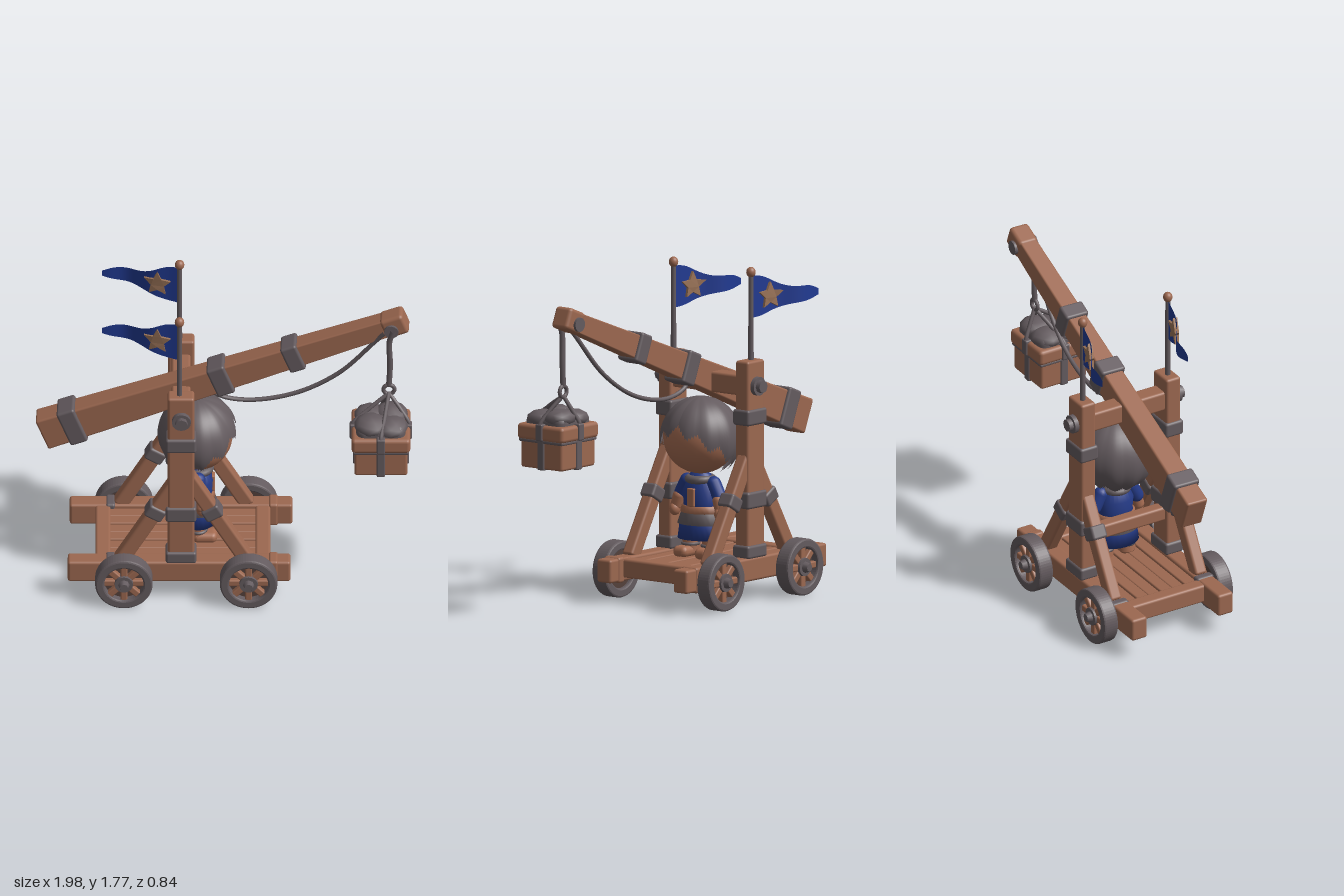
import * as THREE from 'three';
import { RoundedBoxGeometry } from 'three/addons/geometries/RoundedBoxGeometry.js';

const mat = (name, color, extra = {}) => Object.assign(new THREE.MeshStandardMaterial({ color, ...extra }), { name });
const V = (x, y, z) => new THREE.Vector3(x, y, z);

export function createModel() {
  const wood = mat('wood', 0x9c6850);
  const iron = mat('iron', 0x645b5f);
  const shade = mat('dark recess', 0x54413b);
  const skin = mat('skin', 0xa56c52);
  const hairMat = mat('hair', 0x645b5f, { side: THREE.DoubleSide });
  const blue = mat('blue cloth', 0x243a86);
  const flagBlue = mat('flag cloth', 0x213a92, { side: THREE.DoubleSide });
  const gold = mat('star tan', 0x9a7358);

  const root = new THREE.Group();
  root.name = 'siegeEngine';
  const add = (name, geo, m, pos = [0, 0, 0], rot = [0, 0, 0], parent = root) => {
    const mesh = new THREE.Mesh(geo, m);
    mesh.name = name;
    mesh.position.set(...pos);
    mesh.rotation.set(...rot);
    parent.add(mesh);
    return mesh;
  };
  const box = (w, h, d, r = 0.014) => new RoundedBoxGeometry(w, h, d, 2, r);
  const cyl = (r0, r1, h, n = 20) => new THREE.CylinderGeometry(r0, r1, h, n);
  const tube = (pts, r) => new THREE.TubeGeometry(new THREE.CatmullRomCurve3(pts), 32, r, 8);
  const ball = (rx, ry, rz) => new THREE.SphereGeometry(1, 24, 16).scale(rx, ry, rz);

  // Deck: under plate, planks and end beams
  add('underPlate', box(0.92, 0.06, 0.58, 0.01), wood, [-0.22, 0.17, 0]);
  for (let i = 0; i < 6; i++) {
    add('deckPlank', box(0.8, 0.035, 0.07, 0.008), wood, [-0.22, 0.207 + (i % 2) * 0.005, -0.1825 + i * 0.073]);
  }
  for (const x of [-0.64, 0.2]) add('endBeam', box(0.08, 0.1, 0.46), wood, [x, 0.19, 0]);

  // Wheel with tyre, spokes and hub, outer face towards +z
  const ring = new THREE.Shape().absarc(0, 0, 0.142, 0, Math.PI * 2);
  ring.holes.push(new THREE.Path().absarc(0, 0, 0.112, 0, Math.PI * 2, true));
  const tyre = new THREE.ExtrudeGeometry(ring, { depth: 0.066, bevelThickness: 0.01, bevelSize: 0.009, bevelSegments: 2, curveSegments: 32 });
  tyre.translate(0, 0, -0.033);
  const makeWheel = () => {
    const w = new THREE.Group();
    w.name = 'wheel';
    add('tyre', tyre, iron, [0, 0, 0], [0, 0, 0], w);
    add('wheelBack', cyl(0.115, 0.115, 0.02, 32), shade, [0, 0, -0.01], [Math.PI / 2, 0, 0], w);
    for (let i = 0; i < 8; i++) {
      const a = (i * Math.PI) / 4;
      add('spoke', box(0.085, 0.037, 0.04, 0.008), wood, [Math.cos(a) * 0.073, Math.sin(a) * 0.073, 0.008], [0, 0, a], w);
    }
    add('hubPlate', cyl(0.048, 0.052, 0.04), iron, [0, 0, 0.02], [Math.PI / 2, 0, 0], w);
    add('hubCap', cyl(0.022, 0.034, 0.04, 8), iron, [0, 0, 0.048], [Math.PI / 2, 0, 0], w);
    return w;
  };

  // Beam between two points in the x-y plane at depth z
  const strut = (name, a, b, w, d, z, m, parent) => {
    const dx = b[0] - a[0], dy = b[1] - a[1];
    return add(name, box(Math.hypot(dx, dy), w, d), m, [(a[0] + b[0]) / 2, (a[1] + b[1]) / 2, z], [0, 0, Math.atan2(dy, dx)], parent);
  };

  // Flag cloth rule: u runs from pole to tip
  const ripple = u => -0.13 * THREE.MathUtils.smoothstep(u, 0, 0.95) - 0.008 * Math.sin(u * 12);
  const topEdge = u => 1.735 - 0.11 * u + 0.012 * Math.sin(u * 9);
  const lowEdge = u => 1.51 + 0.09 * u - 0.006 * Math.sin(u * 9);
  const flagGeo = new THREE.PlaneGeometry(1, 1, 20, 4);
  const fp = flagGeo.attributes.position;
  for (let i = 0; i < fp.count; i++) {
    const u = 0.5 - fp.getX(i), v = fp.getY(i) + 0.5;
    fp.setXYZ(i, -0.235 - 0.41 * u, THREE.MathUtils.lerp(lowEdge(u), topEdge(u), v), ripple(u));
  }
  flagGeo.computeVertexNormals();
  const star = new THREE.Shape(Array.from({ length: 10 }, (_, i) => {
    const a = Math.PI / 2 + (i * Math.PI) / 5, r = i % 2 ? 0.036 : 0.074;
    return new THREE.Vector2(Math.cos(a) * r, Math.sin(a) * r);
  }));
  const starGeo = new THREE.ExtrudeGeometry(star, { depth: 0.026, bevelEnabled: false });
  starGeo.translate(-0.355, 1.62, -0.013);
  const sp = starGeo.attributes.position;
  for (let i = 0; i < sp.count; i++) sp.setZ(i, sp.getZ(i) + ripple((-0.235 - sp.getX(i)) / 0.41));
  starGeo.computeVertexNormals();

  // Matching side frames
  for (const s of [1, -1]) {
    const z = 0.262 * s;
    add('sideRail', box(1.17, 0.125, 0.094), wood, [s > 0 ? -0.24 : -0.23, 0.182, z]);
    for (const x of [-0.6, 0.255]) add('railBand', box(0.05, 0.137, 0.104), x < 0 ? iron : wood, [x, 0.182, z]);
    add('post', box(0.14, 1.05, 0.088), wood, [-0.23, 0.765, z]);
    for (const [y, h] of [[0.275, 0.07], [0.55, 0.09], [0.99, 0.085]]) {
      add('postBand', box(0.162, h, 0.11), iron, [-0.23, y, z]);
    }
    for (const [a, b] of [[[-0.55, 0.23], [-0.23, 0.78]], [[0.12, 0.23], [-0.2, 0.78]]]) {
      strut('brace', a, b, 0.08, 0.07, z, wood);
      const at = t => [a[0] + (b[0] - a[0]) * t, a[1] + (b[1] - a[1]) * t];
      strut('braceBand', at(0.52), at(0.64), 0.1, 0.09, z, iron);
    }
    for (const x of [-0.53, 0.125]) {
      const w = makeWheel();
      w.position.set(x, 0.16, 0.354 * s);
      if (s < 0) w.rotation.y = Math.PI;
      root.add(w);
    }
    add('pivotWasher', cyl(0.05, 0.05, 0.03, 16), iron, [-0.228, 1.155, 0.315 * s], [Math.PI / 2, 0, 0]);
    add('pivotBolt', cyl(0.034, 0.034, 0.05, 8), iron, [-0.228, 1.155, 0.33 * s], [Math.PI / 2, 0, 0]);
    // Pole, finial and flag
    add('flagPole', cyl(0.013, 0.015, 0.48, 10), iron, [-0.238, 1.51, z]);
    add('finial', ball(0.025, 0.028, 0.025), wood, [-0.238, 1.755, z]);
    add('flag', flagGeo, flagBlue, [0, 0, z]);
    add('flagStar', starGeo, gold, [0, 0, z]);
  }
  for (const x of [-0.53, 0.125]) add('axle', cyl(0.03, 0.03, 0.7, 12), iron, [x, 0.16, 0], [Math.PI / 2, 0, 0]);
  add('pivotBeam', box(0.1, 0.11, 0.46), wood, [-0.23, 1.155, 0]);
  add('lowerCrossBeam', box(0.07, 0.08, 0.46), wood, [-0.25, 0.48, 0]);

  // Tapered throwing arm
  const arm = new THREE.Group();
  arm.name = 'throwingArm';
  arm.position.set(-0.005, 1.254, 0.022);
  arm.rotation.set(0, -0.037, 0.379, 'YZX');
  root.add(arm);
  const armH = s => THREE.MathUtils.mapLinear(s, -1.028, 1.028, 0.19, 0.1);
  const armD = s => THREE.MathUtils.mapLinear(s, -1.028, 1.028, 0.125, 0.095);
  const armGeo = box(2.056, 0.19, 0.125, 0.012);
  const ap = armGeo.attributes.position;
  for (let i = 0; i < ap.count; i++) {
    const s = ap.getX(i);
    ap.setXYZ(i, s, ap.getY(i) * armH(s) / 0.19, ap.getZ(i) * armD(s) / 0.125);
  }
  add('armBeam', armGeo, wood, [0, 0, 0], [0, 0, 0], arm);
  for (const [s, w] of [[-0.856, 0.1], [-0.016, 0.1], [0.393, 0.09]]) {
    add('armBand', box(w, armH(s) + 0.032, armD(s) + 0.032), iron, [s, 0, 0], [0, 0, 0], arm);
  }
  add('armTip', box(0.13, 0.118, 0.112, 0.02), wood, [0.966, 0, 0], [0, 0, 0], arm);
  add('tipPin', cyl(0.038, 0.038, 0.14, 14), iron, [0.945, -0.012, 0], [Math.PI / 2, 0, 0], arm);

  // Ropes and ring
  add('slackRope', tube([V(0.84, 1.58, 0.11), V(0.78, 1.5, 0.09), V(0.6, 1.29, 0.06), V(0.38, 1.15, 0.04), V(0.14, 1.095, 0.03), V(-0.02, 1.12, 0.03), V(-0.09, 1.17, 0.03)], 0.012), iron);
  add('hangingRope', tube([V(0.885, 1.6, 0.125), V(0.865, 1.53, 0.12), V(0.868, 1.38, 0.115), V(0.862, 1.25, 0.115)], 0.015), iron);
  add('liftRing', new THREE.TorusGeometry(0.029, 0.011, 10, 20), iron, [0.862, 1.222, 0.115]);

  // Loaded crate
  const crate = new THREE.Group();
  crate.name = 'crate';
  crate.position.set(0.82, 0, 0.185);
  root.add(crate);
  const inCrate = (name, geo, m, p, r) => add(name, geo, m, p, r, crate);
  inCrate('crateBody', box(0.28, 0.17, 0.28), wood, [0, 0.897, 0]);
  inCrate('crateRim', box(0.31, 0.085, 0.31, 0.02), wood, [0, 1.005, 0]);
  inCrate('crateHoop', box(0.295, 0.02, 0.295, 0.008), iron, [0, 0.96, 0]);
  inCrate('stoneLoad', box(0.26, 0.13, 0.26, 0.045), iron, [0, 1.04, 0]);
  for (let i = 0; i < 4; i++) {
    const a = Math.PI / 4 + (i * Math.PI) / 2;
    inCrate('stone', new THREE.IcosahedronGeometry(0.09, 1).scale(1, 0.55, 1), iron, [Math.cos(a) * 0.075, 1.07 + (i % 2) * 0.012, Math.sin(a) * 0.075], [0, i, 0]);
  }
  for (const turn of [0, Math.PI / 2]) {
    inCrate('crateStrap', box(0.045, 0.17, 0.296, 0.008), iron, [0, 0.892, 0], [0, turn, 0]);
    inCrate('rimStrap', box(0.045, 0.09, 0.328, 0.008), iron, [0, 1.01, 0], [0, turn, 0]);
  }
  for (const [x, z] of [[0.15, 0], [-0.15, 0], [0, 0.15], [0, -0.15]]) {
    inCrate('sling', tube([V(0.042, 1.2, -0.07), V(x * 0.55 + 0.02, 1.125, z * 0.55 - 0.03), V(x, 1.05, z), V(x, 1.0, z)], 0.011), iron);
  }

  // Crew figure, facing +x
  const crew = new THREE.Group();
  crew.name = 'crewFigure';
  crew.position.set(-0.14, 0, 0);
  root.add(crew);
  const body = (name, geo, m, p, r) => add(name, geo, m, p, r, crew);
  const lathe = pts => new THREE.LatheGeometry(pts.map(p => new THREE.Vector2(...p)), 24).scale(0.8, 1, 1);
  body('head', ball(0.178, 0.19, 0.205), skin, [0.005, 0.862, 0]);
  // Hair shell: the lower edge drops from the fringe to the nape, cut into locks
  const hairGeo = new THREE.SphereGeometry(1, 88, 20);
  const hp = hairGeo.attributes.position, uv = hairGeo.attributes.uv;
  for (let i = 0; i < hp.count; i++) {
    const a = uv.getX(i) * Math.PI * 2, v = 1 - uv.getY(i);
    const back = (1 - Math.cos(a)) / 2;
    const lock = Math.abs(((a * 11) / (Math.PI * 2)) % 1 - 0.5) * 2;
    const th = v * (1.22 + 1.25 * Math.pow(back, 0.7) + 0.26 * (1 - lock));
    const r = 1 + 0.035 * (1 - lock) * v;
    hp.setXYZ(i, Math.cos(a) * Math.sin(th) * 0.205 * r, Math.cos(th) * 0.215 * r, -Math.sin(a) * Math.sin(th) * 0.215 * r);
  }
  hairGeo.computeVertexNormals();
  body('hair', hairGeo, hairMat, [-0.005, 0.865, 0]);
  body('torso', lathe([[0, 0.43], [0.105, 0.43], [0.095, 0.52], [0.1, 0.58], [0.06, 0.67], [0, 0.69]]), blue);
  body('collar', new THREE.TorusGeometry(0.062, 0.022, 10, 24), iron, [0, 0.642, 0], [Math.PI / 2, 0, 0]);
  body('shorts', lathe([[0, 0.33], [0.13, 0.325], [0.12, 0.4], [0.1, 0.46]]), blue);
  body('tunicHem', lathe([[0.1, 0.4], [0.132, 0.405], [0.112, 0.46], [0.098, 0.49]]), iron);
  body('belt', lathe([[0.09, 0.46], [0.113, 0.465], [0.108, 0.5], [0.09, 0.505]]), skin);
  body('vestFront', box(0.02, 0.1, 0.05, 0.008), skin, [0.078, 0.55, 0]);
  for (const s of [1, -1]) {
    body('sleeve', new THREE.CapsuleGeometry(0.038, 0.08, 6, 14), blue, [0, 0.59, 0.11 * s], [-0.5 * s, 0, 0]);
    body('forearm', new THREE.CapsuleGeometry(0.032, 0.05, 6, 14), skin, [0.015, 0.515, 0.142 * s], [-0.3 * s, 0, 0]);
    body('hand', ball(0.034, 0.036, 0.028), skin, [0.025, 0.47, 0.152 * s]);
    body('leg', cyl(0.042, 0.046, 0.1, 16), skin, [0, 0.3, 0.066 * s]);
    body('bootCuff', new THREE.TorusGeometry(0.043, 0.009, 8, 18), iron, [0, 0.292, 0.066 * s], [Math.PI / 2, 0, 0]);
    body('boot', box(0.13, 0.06, 0.09, 0.028), skin, [0.035, 0.255, 0.072 * s]);
  }
  return root;
}
